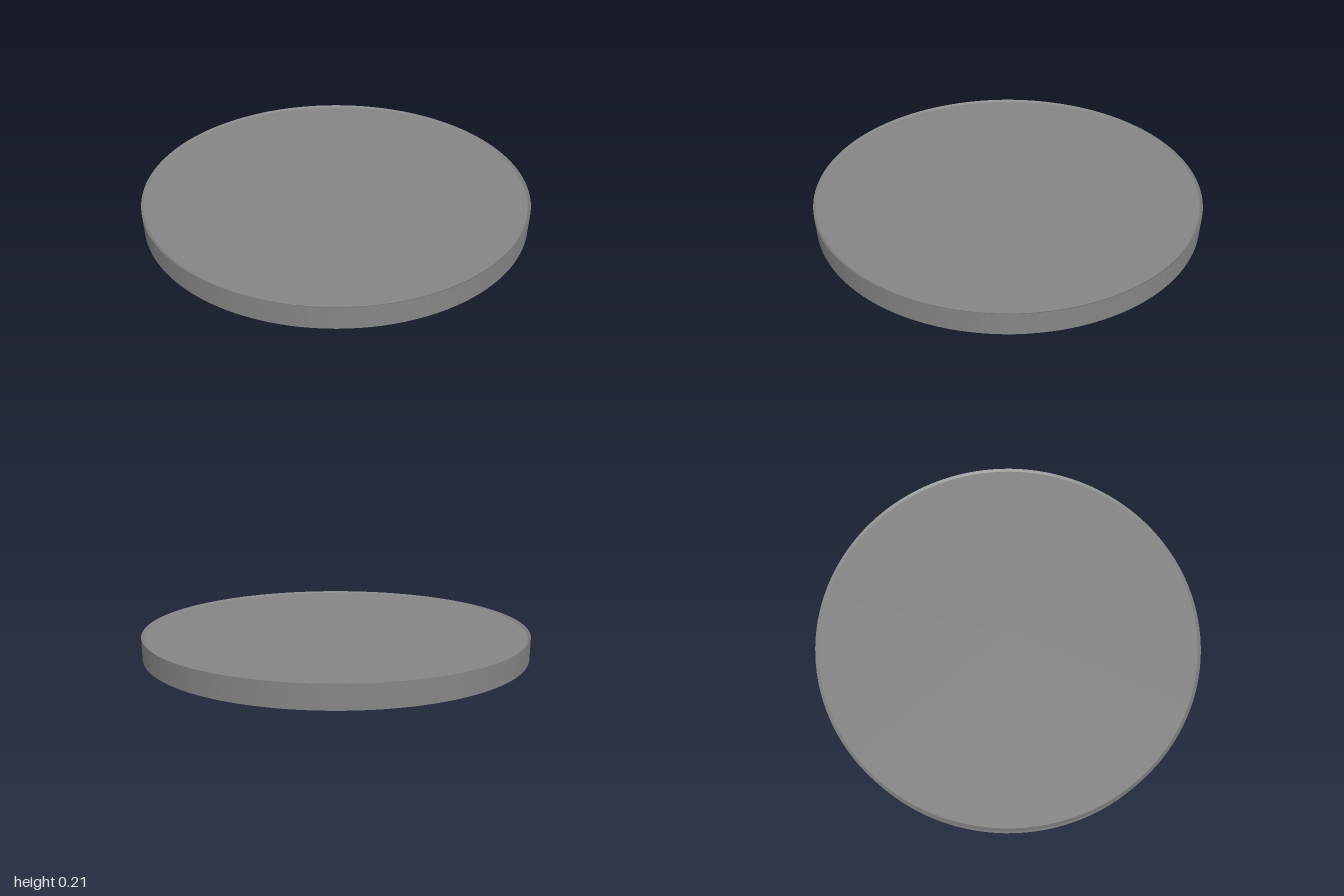
import * as THREE from 'three';

const grey = () => new THREE.MeshStandardMaterial({ color: 0x868686, side: THREE.DoubleSide });
const v2 = (x, y) => new THREE.Vector2(x, y);

function add(parent, geometry, name) {
  const mesh = new THREE.Mesh(geometry, grey());
  mesh.name = name;
  parent.add(mesh);
  return mesh;
}

// Swollen front of the flights: a tube whose section is a four-pointed star
function lobeGeometry(start, end) {
  const g = new THREE.CylinderGeometry(1, 1, 1, 64, 20, true);
  const p = g.attributes.position;
  for (let i = 0; i < p.count; i++) {
    const t = p.getY(i) + 0.5;
    const angle = Math.atan2(p.getZ(i), p.getX(i));
    const point = Math.pow(1 - Math.abs(Math.sin(2 * angle)), 1.3);
    const swell = Math.pow(Math.max(0, Math.sin(Math.PI * Math.pow(t, 1.25))), 0.75);
    const r = 0.011 + swell * (0.008 + 0.056 * point);
    p.setXYZ(i, start + t * (end - start), r * Math.cos(angle), r * Math.sin(angle));
  }
  g.computeVertexNormals();
  return g;
}

function createDart() {
  const dart = new THREE.Group();
  dart.name = 'dart';

  // Turned parts, profiles are (radius, position along the axis)
  const turned = (points, name) => {
    const g = new THREE.LatheGeometry(points, 24);
    g.rotateZ(-Math.PI / 2);
    add(dart, g, name);
  };
  turned([v2(0, -0.32), v2(0.003, -0.3), v2(0.005, -0.185)], 'needle');

  // Barrel with shallow grooves
  const barrel = [v2(0, -0.19), v2(0.014, -0.187)];
  for (let i = 0; i < 8; i++) {
    const x = -0.18 + i * 0.026;
    const r = i < 6 ? 0.022 : 0.02;
    barrel.push(v2(r - 0.0015, x), v2(r, x + 0.005), v2(r, x + 0.019), v2(r - 0.0015, x + 0.024));
  }
  barrel.push(v2(0.015, 0.06), v2(0.011, 0.16));
  turned(barrel, 'barrel');
  turned([v2(0.011, 0.16), v2(0.01, 0.3), v2(0.004, 0.44), v2(0, 0.445)], 'shaft');

  add(dart, lobeGeometry(0.17, 0.35), 'flightLobes');

  // Four thin rear blades
  const outline = new THREE.Shape();
  outline.moveTo(0.27, 0);
  outline.lineTo(0.305, 0.06);
  outline.bezierCurveTo(0.32, 0.1, 0.35, 0.1, 0.38, 0.1);
  outline.quadraticCurveTo(0.415, 0.098, 0.43, 0.078);
  outline.lineTo(0.463, 0);
  const blade = new THREE.ShapeGeometry(outline, 10);
  for (let i = 0; i < 4; i++) {
    add(dart, blade, 'flightBlade').rotation.x = (i * Math.PI) / 2;
  }
  dart.position.y = 0.1;
  return dart;
}

export function createModel() {
  const model = new THREE.Group();
  const bottom = 0.1, top = 0.213, recess = 0.204, inner = 0.986;

  // Round shell, open underneath, with a slightly sunken top inside the rim
  add(model, new THREE.CylinderGeometry(1, 1, top - bottom, 128, 1, true)
    .translate(0, (top + bottom) / 2, 0), 'rimWall');
  // Wider at the top, turned inside out so its front faces the centre
  add(model, new THREE.LatheGeometry([v2(1, top), v2(inner, recess)], 128), 'rimSlope');
  add(model, new THREE.CircleGeometry(inner, 128).rotateX(-Math.PI / 2).translate(0, recess, 0), 'topDisc');

  model.add(createDart());
  return model;
}
